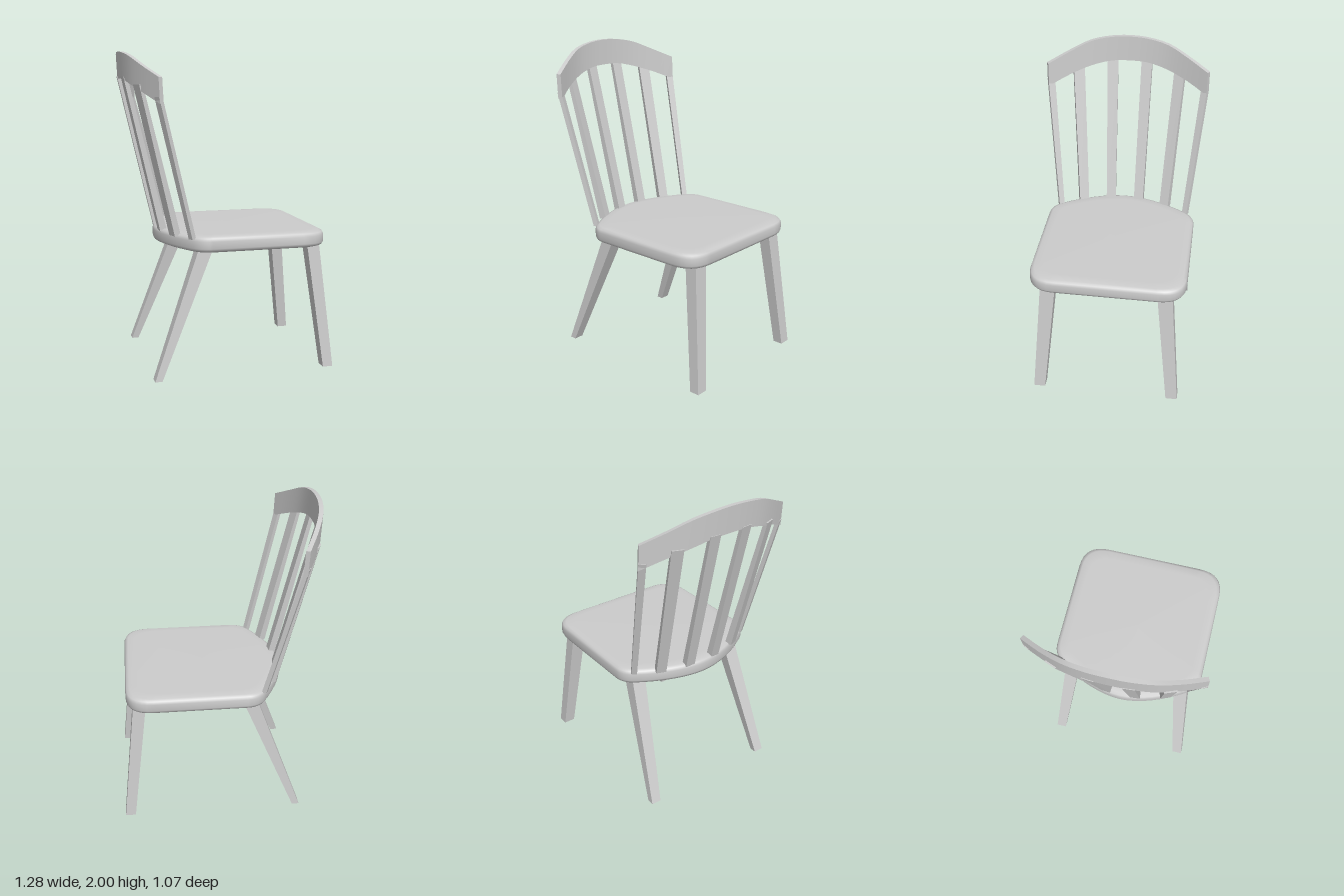
import * as THREE from 'three';

const material = new THREE.MeshStandardMaterial({ color: 0xcccccc });

function addMesh(parent, geometry, name) {
  const mesh = new THREE.Mesh(geometry, material);
  mesh.name = name;
  parent.add(mesh);
}

// Tapered bar between two end sections: [x, y, z, depth, width], turned about y by angle
function bar(bottom, top, angle) {
  const geometry = new THREE.BoxGeometry(1, 1, 1);
  const p = geometry.attributes.position;
  const c = Math.cos(angle), s = Math.sin(angle);
  for (let i = 0; i < p.count; i++) {
    const [x, y, z, depth, width] = p.getY(i) < 0 ? bottom : top;
    const d = p.getX(i) * depth, w = p.getZ(i) * width;
    p.setXYZ(i, x + d * c + w * s, y, z - d * s + w * c);
  }
  geometry.computeVertexNormals();
  return geometry;
}

// The same bar on both sides of the chair
function barPair(parent, name, bottom, top, angle) {
  for (const side of [1, -1]) {
    const flip = ([x, y, z, d, w]) => [x, y, z * side, d, w];
    addMesh(parent, bar(flip(bottom), flip(top), angle * side), name);
  }
}

// Cushion-edged seat: one outline scaled through a vertical profile
function seatGeometry() {
  const outline = new THREE.Shape()
    .moveTo(0.6, -0.33).lineTo(0.6, 0.33)
    .quadraticCurveTo(0.6, 0.5, 0.43, 0.5)
    .lineTo(-0.16, 0.5)
    .quadraticCurveTo(-0.235, 0.5, -0.28, 0.43)
    .bezierCurveTo(-0.37, 0.29, -0.43, 0.13, -0.43, 0)
    .bezierCurveTo(-0.43, -0.13, -0.37, -0.29, -0.28, -0.43)
    .quadraticCurveTo(-0.235, -0.5, -0.16, -0.5)
    .lineTo(0.43, -0.5)
    .quadraticCurveTo(0.6, -0.5, 0.6, -0.33)
    .getPoints(8);
  outline.pop();
  const profile = [[0, 0.893], [0.85, 0.891], [0.95, 0.887], [0.985, 0.878], [1, 0.86],
    [1, 0.815], [0.985, 0.798], [0.95, 0.79], [0.9, 0.79], [0, 0.79]];
  const cx = 0.08, n = outline.length, positions = [], index = [];
  profile.forEach(([scale, y], j) => {
    outline.forEach((pt, i) => {
      positions.push(cx + (pt.x - cx) * scale, y, pt.y * scale);
      if (j === profile.length - 1) return;
      const a = j * n + i, b = j * n + (i + 1) % n;
      index.push(a, b, a + n, b, b + n, a + n);
    });
  });
  const geometry = new THREE.BufferGeometry();
  geometry.setAttribute('position', new THREE.Float32BufferAttribute(positions, 3));
  geometry.setIndex(index);
  geometry.computeVertexNormals();
  return geometry;
}

// Curved top rail: a segmented box bent along mirrored top and bottom edges
function railGeometry() {
  // x, top y, bottom y, z along one half
  const half = [[-0.645, 2, 1.835, 0], [-0.64, 1.993, 1.83, 0.12], [-0.615, 1.967, 1.798, 0.26],
    [-0.56, 1.908, 1.75, 0.4], [-0.49, 1.845, 1.69, 0.535]];
  const stations = [...half.slice(1).reverse().map(([x, t, b, z]) => [x, t, b, -z]), ...half];
  const edge = (row) => new THREE.CatmullRomCurve3(
    stations.map((s) => new THREE.Vector3(s[0], s[row], s[3])));
  const topEdge = edge(1), bottomEdge = edge(2);
  const thickness = 0.027;
  const geometry = new THREE.BoxGeometry(1, 1, 1, 1, 1, 24);
  const p = geometry.attributes.position;
  for (let i = 0; i < p.count; i++) {
    const t = p.getZ(i) + 0.5, isTop = p.getY(i) > 0;
    const point = (isTop ? topEdge : bottomEdge).getPoint(t);
    const tangent = topEdge.getTangent(t).setY(0).normalize();
    const d = p.getX(i) > 0 ? thickness : 0;
    p.setXYZ(i, point.x + tangent.z * d + (isTop ? 0 : 0.008), point.y, point.z - tangent.x * d);
  }
  geometry.computeVertexNormals();
  return geometry;
}

export function createModel() {
  const chair = new THREE.Group();
  chair.name = 'chair';

  addMesh(chair, seatGeometry(), 'seat');

  // Splayed legs, narrowing to the floor
  const legs = new THREE.Group();
  legs.name = 'legs';
  barPair(legs, 'frontLeg', [0.607, 0, 0.445, 0.065, 0.075], [0.515, 0.81, 0.37, 0.08, 0.095], 0);
  barPair(legs, 'rearLeg', [-0.497, 0, 0.447, 0.045, 0.065], [-0.18, 0.81, 0.37, 0.092, 0.095], 0);
  chair.add(legs);

  // Backrest: spindles fan out from the seat to the curved rail
  const back = new THREE.Group();
  back.name = 'backrest';
  barPair(back, 'innerSlat', [-0.392, 0.87, 0.098, 0.045, 0.064], [-0.625, 1.845, 0.114, 0.025, 0.072], 0.08);
  barPair(back, 'outerSlat', [-0.348, 0.87, 0.286, 0.045, 0.064], [-0.577, 1.8, 0.338, 0.025, 0.074], 0.36);
  barPair(back, 'sidePost', [-0.272, 0.87, 0.434, 0.03, 0.035], [-0.487, 1.73, 0.511, 0.025, 0.045], 0.5);
  addMesh(back, railGeometry(), 'topRail');
  chair.add(back);

  return chair;
}
